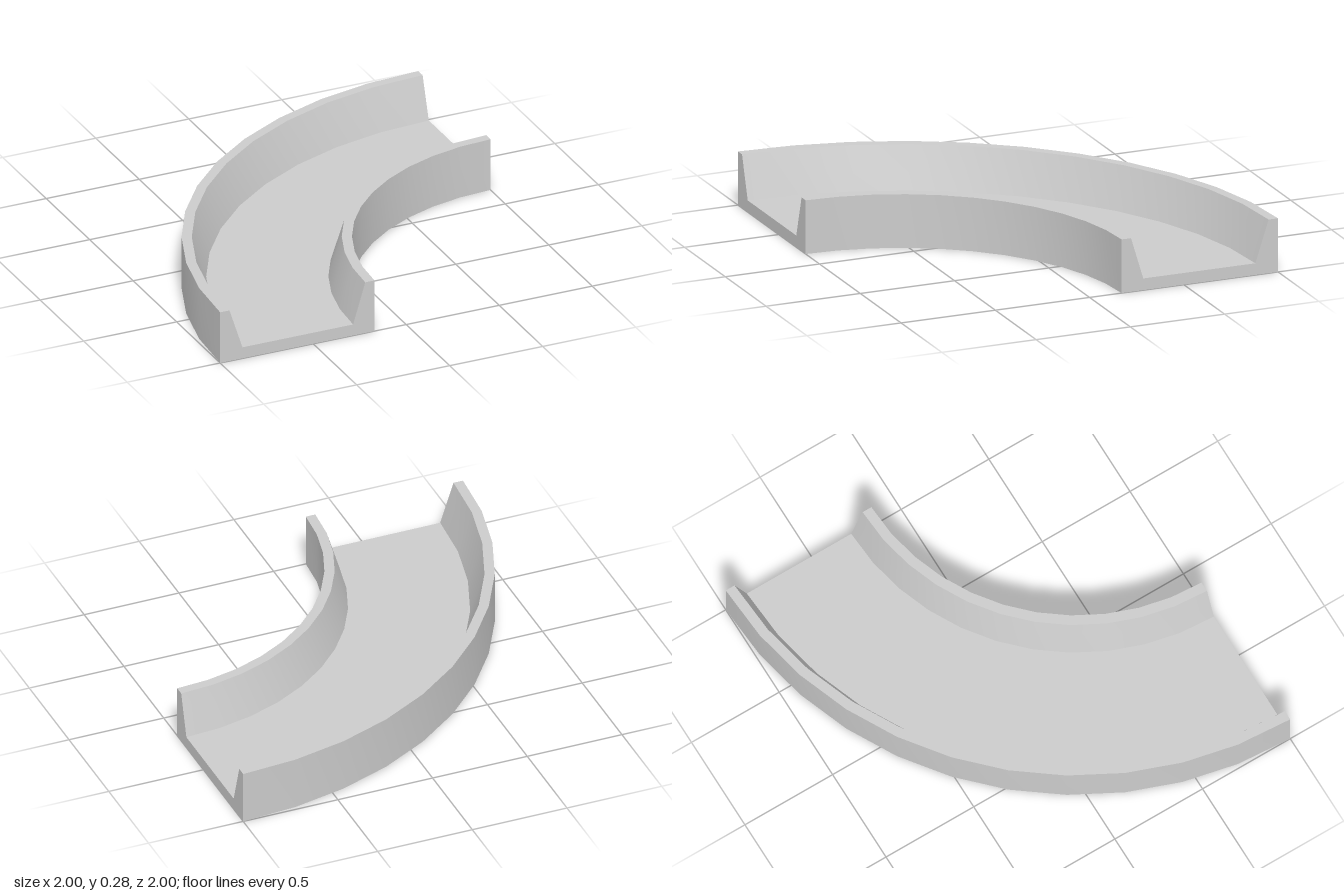
import * as THREE from 'three';
import { mergeGeometries, toCreasedNormals } from 'three/addons/utils/BufferGeometryUtils.js';

const SEGMENTS = 11;
const CENTRE = 1; // the bend turns about x = 1, z = 1

// U-shaped channel section as [radius, height], counter-clockwise
const section = [
  [1.17, 0], [2, 0], [2, 0.275], [1.95, 0.275],
  [1.88, 0.06], [1.285, 0.06], [1.22, 0.275], [1.17, 0.275],
];

// Flat end face of the channel, facing +z; side mirrors the section in x
function endFace(side) {
  const points = section.map(([r, y]) => new THREE.Vector2(side * (r - CENTRE), y));
  return new THREE.ShapeGeometry(new THREE.Shape(points));
}

export function createModel() {
  const group = new THREE.Group();
  group.name = 'curvedChannel';

  // Quarter-turn sweep of the closed section
  const loop = [...section, section[0]].map(([r, y]) => new THREE.Vector2(r, y));
  const sweep = new THREE.LatheGeometry(loop, SEGMENTS, Math.PI, Math.PI / 2);
  sweep.translate(CENTRE, 0, CENTRE);

  // End faces at z = 1 and x = 1
  const frontEnd = endFace(-1).translate(0, 0, CENTRE);
  const sideEnd = endFace(1).rotateY(Math.PI / 2).translate(CENTRE, 0, 0);

  // Smooth around the bend, sharp along the section's corners
  const geometry = toCreasedNormals(mergeGeometries([sweep, frontEnd, sideEnd]), Math.PI / 6);
  const channel = new THREE.Mesh(geometry, new THREE.MeshStandardMaterial({ color: 0xcccccc }));
  channel.name = 'channelBend';
  group.add(channel);
  return group;
}
